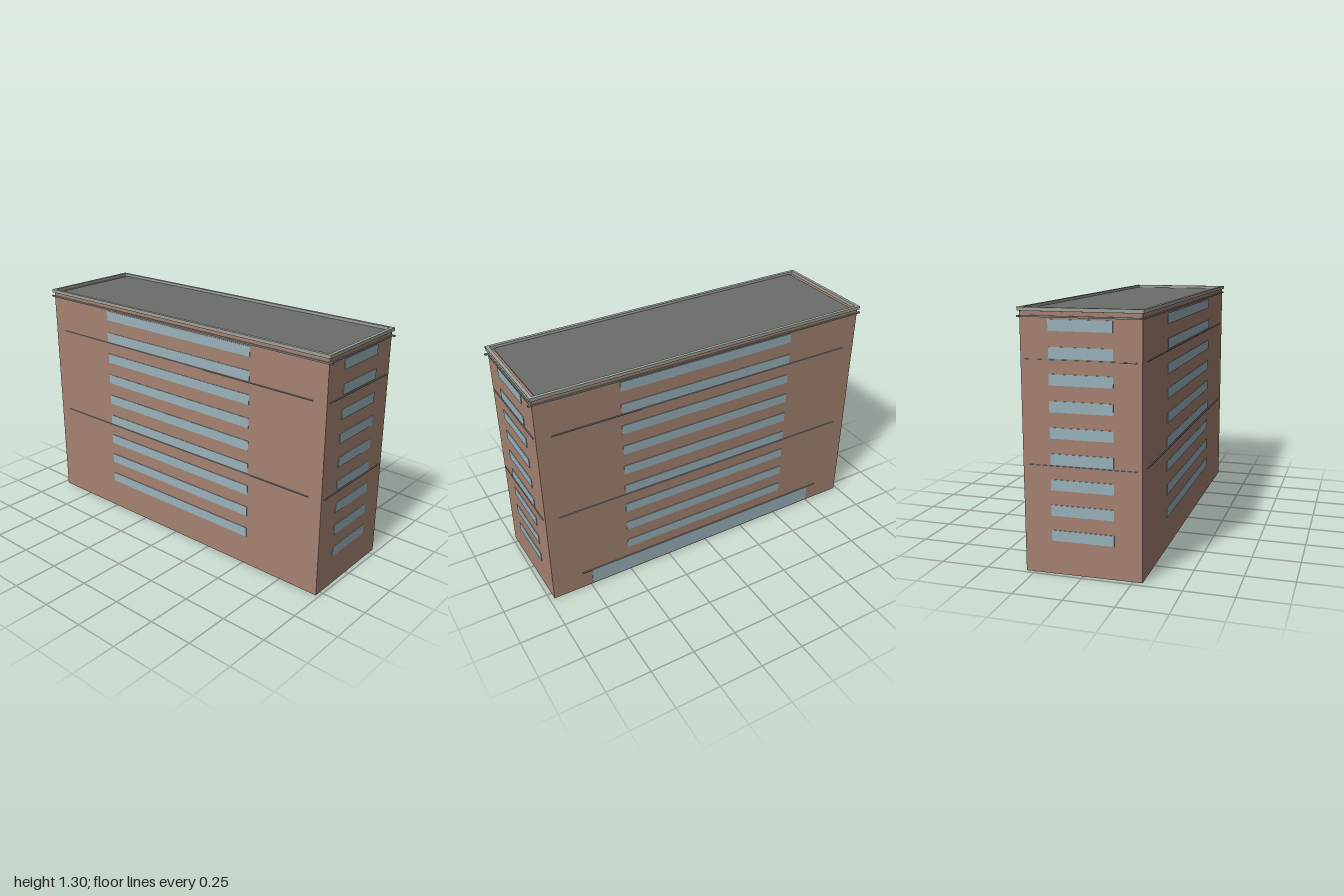
import * as THREE from 'three';

const mat = (color) => new THREE.MeshStandardMaterial({ color });

export function createModel() {
  const building = new THREE.Group();
  building.name = 'officeBlock';

  const brick = mat(0xa58372), glass = mat(0x9ab2bb), roofGrey = mat(0x6b6e6a);
  const stone = mat(0x9fa39c), trim = mat(0x85888a);

  // Slightly skewed footprint corners [x, z]: front left, front right, back right, back left
  const plan = [[-0.288, 0.982], [0.295, 0.973], [0.295, -0.982], [-0.298, -0.97]];
  const wallTop = 1.28;

  // Upright prism over the scaled footprint
  function prism(name, scale, y, height, material) {
    const shape = new THREE.Shape(plan.map(([x, z]) => new THREE.Vector2(x * scale, -z * scale)));
    const geo = new THREE.ExtrudeGeometry(shape, { depth: height, bevelEnabled: false });
    geo.rotateX(-Math.PI / 2);
    const mesh = new THREE.Mesh(geo, material);
    mesh.name = name;
    mesh.position.y = y;
    building.add(mesh);
  }
  prism('body', 1, 0, wallTop, brick);
  prism('roofDeck', 0.97, wallTop - 0.01, 0.014, roofGrey);

  // Each wall gets a group whose local x runs along it and local z points outward
  const wallNames = ['frontWall', 'leftWall', 'backWall', 'rightWall'];
  plan.forEach((a, i) => {
    const b = plan[(i + 1) % 4];
    const dx = b[0] - a[0], dz = b[1] - a[1], length = Math.hypot(dx, dz);
    const wall = new THREE.Group();
    wall.name = wallNames[i];
    wall.position.set((a[0] + b[0]) / 2, 0, (a[1] + b[1]) / 2);
    wall.rotation.y = Math.atan2(-dz, dx);
    building.add(wall);

    // Box centred on the wall plane, width given as a share of the wall length
    const strip = (name, share, y, height, depth, material) => {
      const mesh = new THREE.Mesh(new THREE.BoxGeometry(length * share, height, depth), material);
      mesh.name = name;
      mesh.position.y = y;
      wall.add(mesh);
    };

    // Nine storeys of ribbon windows
    for (let f = 0; f < 9; f++) strip('windowBand', 0.53, 0.197 + f * 0.1276, 0.054, 0.006, glass);

    // String courses, cornice and parapet coping
    for (const y of [0.545, 1.055]) strip('stringCourse', 0.92, y, 0.005, 0.01, trim);
    strip('cornice', 1.02, 1.257, 0.008, 0.012, trim);
    strip('parapetCoping', 1.01, 1.29, 0.018, 0.018, stone);

    // Ground floor shopfront with a thin canopy, on one long side only
    if (i === 1) {
      strip('shopfront', 0.762, 0.055, 0.088, 0.008, glass);
      strip('canopy', 0.82, 0.104, 0.006, 0.012, trim);
    }
  });

  return building;
}
